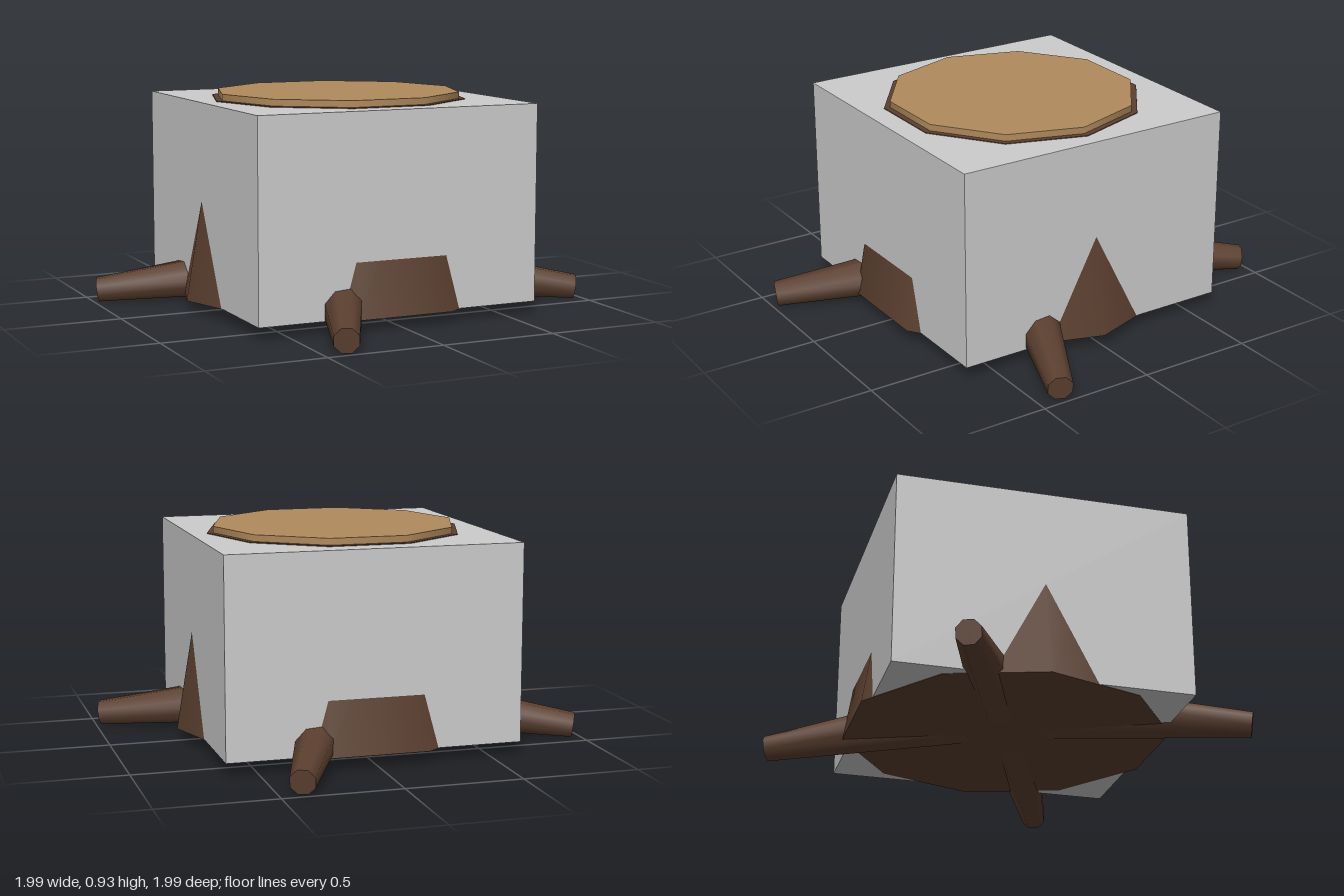
import * as THREE from 'three';

export function createModel() {
  const model = new THREE.Group();
  const paint = (name, color) => {
    const material = new THREE.MeshStandardMaterial({ color });
    material.name = name;
    return material;
  };
  const bark = paint('bark', 0x5c4030);
  const wood = paint('cutWood', 0xb08a5c);
  const grey = paint('casingGrey', 0xcccccc);

  const add = (name, geometry, material, parent = model) => {
    const mesh = new THREE.Mesh(geometry, material);
    mesh.name = name;
    parent.add(mesh);
    return mesh;
  };

  // Ten-sided round drum with corners on the x axis, from y0 up to y1
  const drum = (name, rTop, rBottom, y0, y1, material) => {
    const geometry = new THREE.CylinderGeometry(rTop, rBottom, y1 - y0, 10);
    geometry.rotateY(Math.PI / 2);
    add(name, geometry, material).position.y = (y0 + y1) / 2;
  };

  // Tapered stump and the cut face on top of it
  drum('stumpTrunk', 0.562, 0.706, 0.058, 0.908, bark);
  drum('cutTop', 0.536, 0.536, 0.9, 0.936, wood);

  // Square casing around the stump
  add('casing', new THREE.BoxGeometry(1.268, 0.845, 1.268), grey).position.y = 0.4825;

  // Four roots spreading from the centre and sloping to the ground
  const start = new THREE.Vector3(0, 0.192, 0);
  const end = new THREE.Vector3(0.974, 0.057, 0.408);
  const along = end.clone().sub(start);
  const tilt = new THREE.Quaternion().setFromUnitVectors(
    new THREE.Vector3(0, 1, 0), along.clone().normalize());
  for (let i = 0; i < 4; i++) {
    const root = new THREE.Group();
    root.name = 'root' + (i + 1);
    root.rotation.y = i * Math.PI / 2;
    const limb = add('rootLimb', new THREE.CylinderGeometry(0.055, 0.135, along.length(), 8), bark, root);
    limb.quaternion.copy(tilt);
    limb.position.copy(start).add(end).multiplyScalar(0.5);
    model.add(root);
  }
  return model;
}
